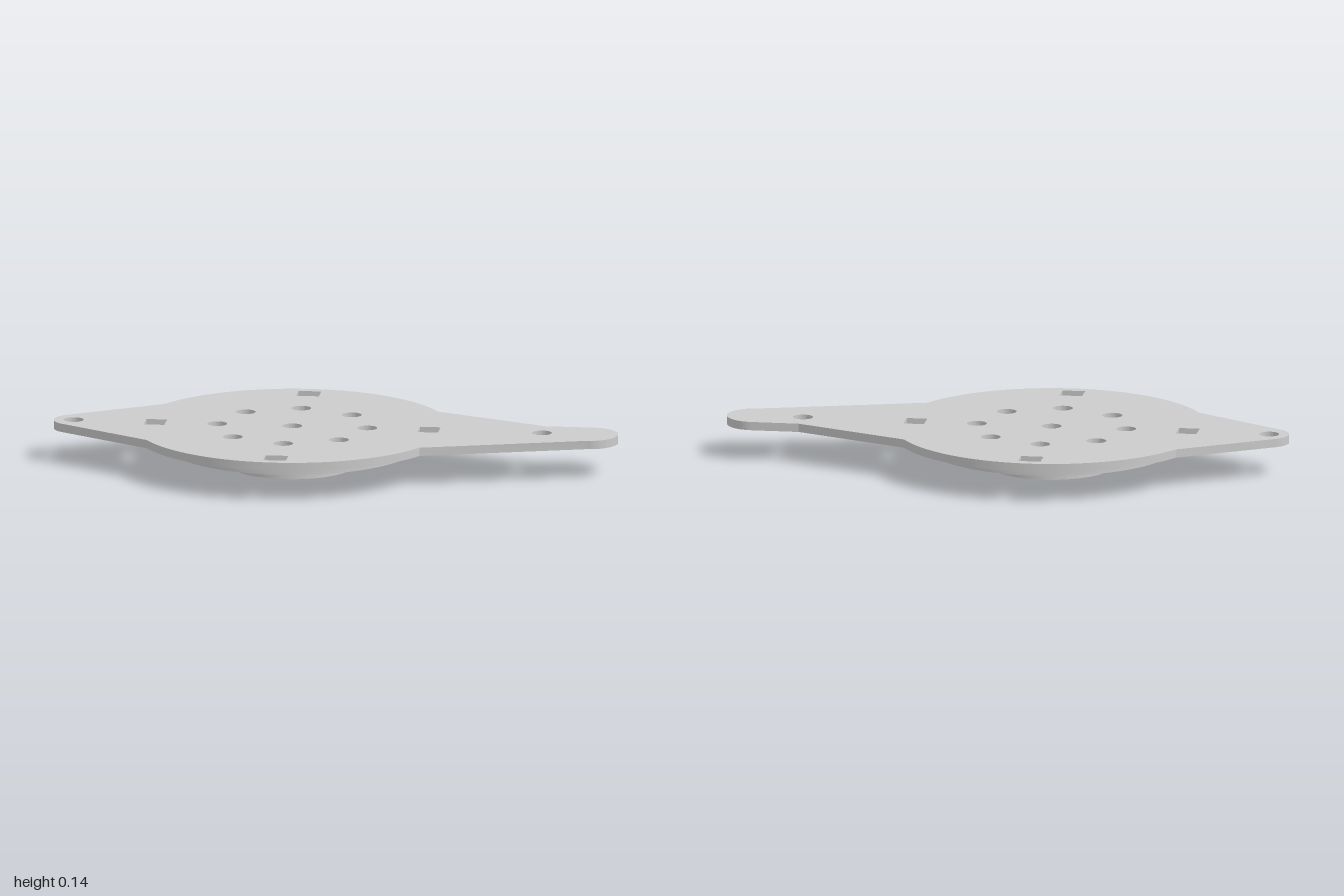
import * as THREE from 'three';
import { toCreasedNormals } from 'three/addons/utils/BufferGeometryUtils.js';

const CX = -0.155; // axis of the round body
const material = new THREE.MeshStandardMaterial({ color: 0xcccccc });

function roundHole(x, y, r = 0.035) {
  return new THREE.Path().absarc(x, y, r, 0, Math.PI * 2, true);
}

function slotHole(x, y, w, h) {
  return new THREE.Path([
    [-w, -h], [-w, h], [w, h], [w, -h],
  ].map(([a, b]) => new THREE.Vector2(x + a / 2, y + b / 2)));
}

function plateShape() {
  const R = 0.555;
  const a = Math.asin(0.272 / R); // where the arms meet the disc
  const tip = Math.PI - 1.01; // tangent angle on the short arm's end
  const shape = new THREE.Shape();
  shape.moveTo(0.73, -0.1);
  shape.absarc(0.9, 0, 0.1, -Math.PI / 2, Math.PI / 2, false); // long arm end
  shape.lineTo(0.73, 0.1);
  shape.absarc(CX, 0, R, a, Math.PI - a, false);
  shape.absarc(-0.92, 0, 0.08, tip, Math.PI * 2 - tip, false); // short arm end
  shape.absarc(CX, 0, R, Math.PI + a, Math.PI * 2 - a, false);
  shape.closePath();

  // Mounting holes in the arms, centre hole and ring of eight
  shape.holes.push(roundHole(-0.93, 0), roundHole(0.73, 0), roundHole(CX, 0));
  for (let i = 0; i < 8; i++) {
    const t = (i * Math.PI) / 4;
    shape.holes.push(roundHole(CX + 0.266 * Math.cos(t), 0.266 * Math.sin(t)));
  }
  // Four rectangular slots near the rim
  for (const s of [-1, 1]) {
    shape.holes.push(slotHole(CX + s * 0.485, 0, 0.073, 0.08));
    shape.holes.push(slotHole(CX, s * 0.485, 0.08, 0.073));
  }
  return shape;
}

function disc(name, radius, y0, y1) {
  const mesh = new THREE.Mesh(new THREE.CylinderGeometry(radius, radius, y1 - y0, 96), material);
  mesh.name = name;
  mesh.position.set(CX, (y0 + y1) / 2, 0);
  return mesh;
}

export function createModel() {
  const model = new THREE.Group();
  model.name = 'mountingPlate';

  // Flat top plate with two arms
  const geometry = new THREE.ExtrudeGeometry(plateShape(), {
    depth: 0.03, bevelEnabled: false, curveSegments: 32,
  });
  geometry.rotateX(-Math.PI / 2).translate(0, 0.11, 0);
  const plate = new THREE.Mesh(toCreasedNormals(geometry, 0.4), material);
  plate.name = 'topPlate';
  model.add(plate);

  // Stepped discs and boss underneath
  model.add(
    disc('upperStep', 0.485, 0.09, 0.11),
    disc('lowerStep', 0.447, 0.07, 0.09),
    disc('boss', 0.222, 0, 0.07),
  );
  return model;
}
